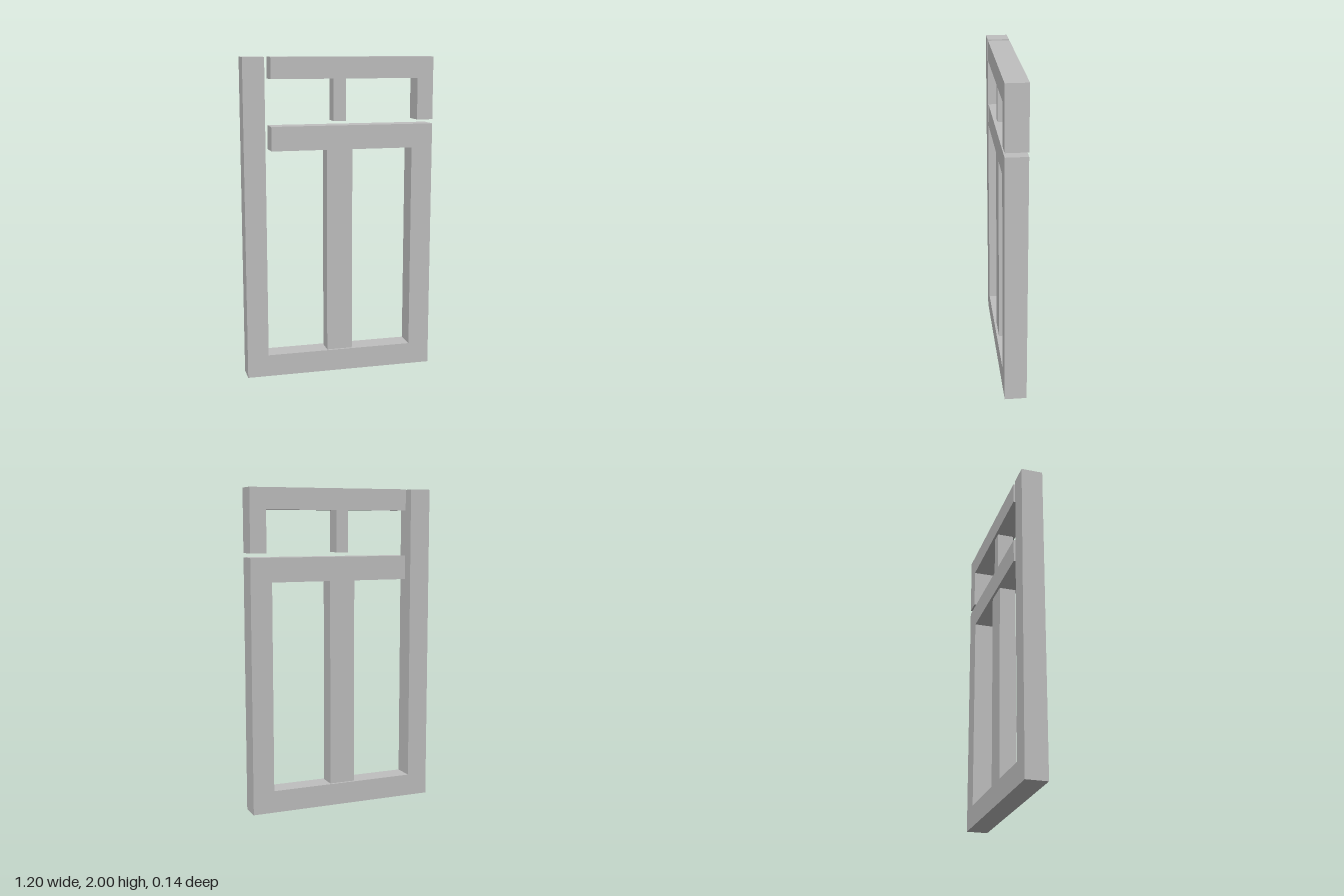
import * as THREE from 'three';

const DEPTH = 0.136;
const STEM_DEPTH = 0.106;

export function createModel() {
  const group = new THREE.Group();
  const grey = new THREE.MeshStandardMaterial({ color: 0xbfbfbf });
  grey.name = 'grey';

  const add = (name, geometry) => {
    const mesh = new THREE.Mesh(geometry, grey);
    mesh.name = name;
    group.add(mesh);
    return mesh;
  };

  // Outline extruded evenly about z = 0
  const addProfile = (name, points) => {
    const shape = new THREE.Shape(points.map(([x, y]) => new THREE.Vector2(x, y)));
    const geometry = new THREE.ExtrudeGeometry(shape, { depth: DEPTH, bevelEnabled: false });
    add(name, geometry.translate(0, 0, -DEPTH / 2));
  };

  // Slightly recessed upright centred on x = 0
  const addStem = (name, width, bottom, top) => {
    add(name, new THREE.BoxGeometry(width, top - bottom, STEM_DEPTH))
      .position.y = (bottom + top) / 2;
  };

  // Tall left post, base, right post and middle rail in one piece
  addProfile('mainFrame', [
    [-0.601, 0], [0.601, 0], [0.601, 1.583], [-0.431, 1.583], [-0.431, 1.434],
    [0.466, 1.434], [0.466, 0.138], [-0.468, 0.138], [-0.468, 2], [-0.601, 2],
  ]);

  // Top rail with its short hanging end
  addProfile('topRail', [
    [-0.431, 1.868], [0.499, 1.868], [0.499, 1.609], [0.601, 1.609],
    [0.601, 2], [-0.431, 2],
  ]);

  addStem('lowerStem', 0.164, 0.138, 1.434);
  addStem('upperStem', 0.078, 1.609, 1.868);

  return group;
}
